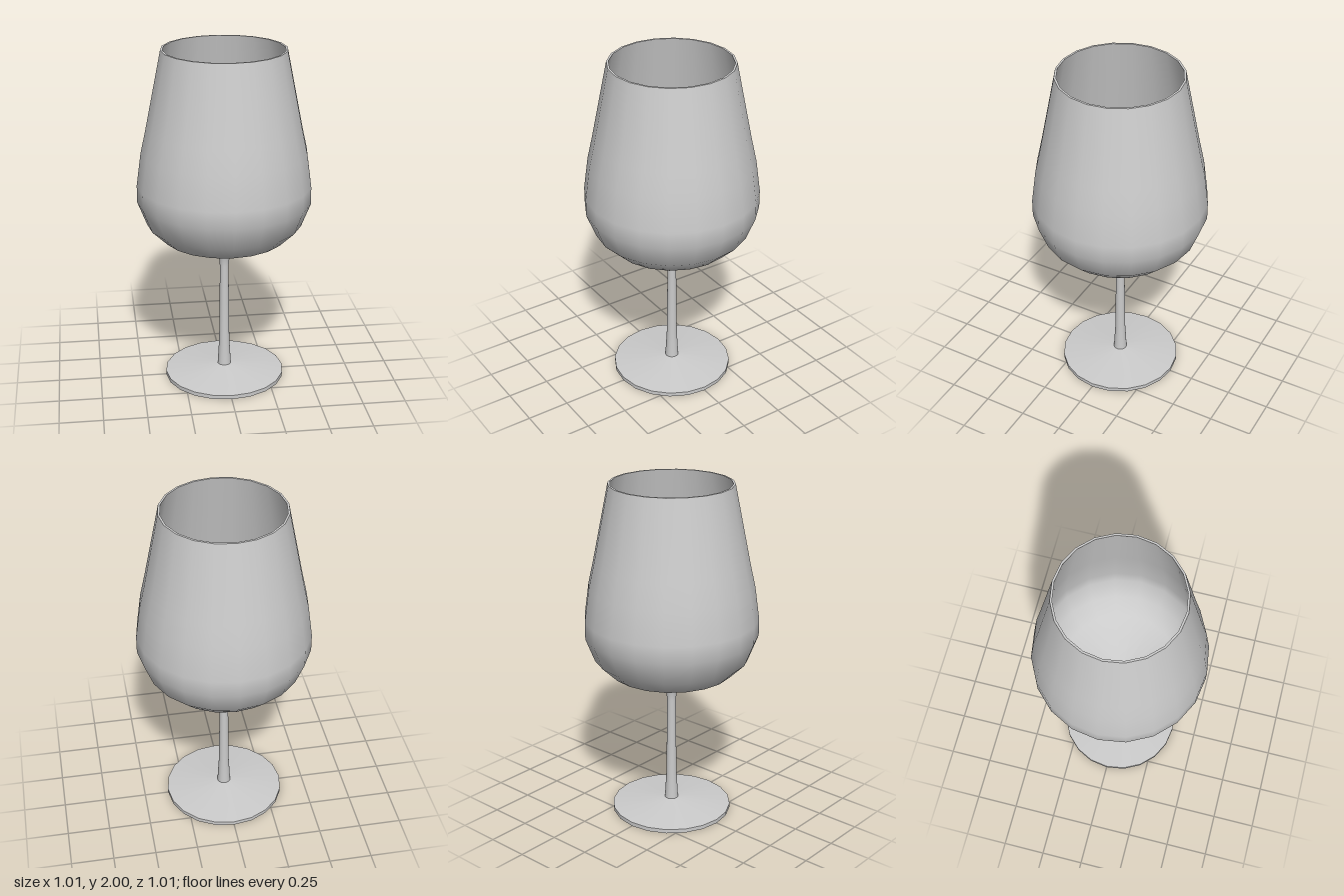
import * as THREE from 'three';

const SIDES = 20;
const material = new THREE.MeshStandardMaterial({ color: 0xcccccc });

// Revolve a [radius, height] profile; each call is one smooth surface, so edges between calls stay sharp
function turned(name, profile) {
  const points = profile.map(([r, y]) => new THREE.Vector2(r, y));
  const mesh = new THREE.Mesh(new THREE.LatheGeometry(points, SIDES), material);
  mesh.name = name;
  return mesh;
}

export function createModel() {
  const glass = new THREE.Group();
  glass.name = 'wineGlass';

  // Foot: flat underside, thin edge, shallow cone on top
  const foot = new THREE.Group();
  foot.name = 'foot';
  foot.add(
    turned('footUnderside', [[0, 0], [0.355, 0]]),
    turned('footEdge', [[0.355, 0], [0.355, 0.024]]),
    turned('footTop', [[0.355, 0.024], [0.04, 0.058]]),
  );

  // Stem flowing smoothly into the outside of the bowl
  const stemAndBowl = turned('stemAndBowlOutside', [
    [0.04, 0.058], [0.031, 0.22], [0.028, 0.45], [0.026, 0.7], [0.031, 0.75], [0.043, 0.805],
    [0.36, 0.895], [0.45, 0.983], [0.503, 1.12], [0.503, 1.22], [0.477, 1.41], [0.446, 1.55], [0.355, 2],
  ]);

  // Rim and inner wall
  const rim = turned('rim', [[0.355, 2], [0.343, 2]]);
  const inside = turned('bowlInside', [
    [0.343, 2], [0.432, 1.55], [0.462, 1.41], [0.487, 1.22], [0.487, 1.125],
    [0.438, 0.995], [0.352, 0.91], [0.04, 0.825], [0, 0.82],
  ]);

  glass.add(foot, stemAndBowl, rim, inside);
  return glass;
}
